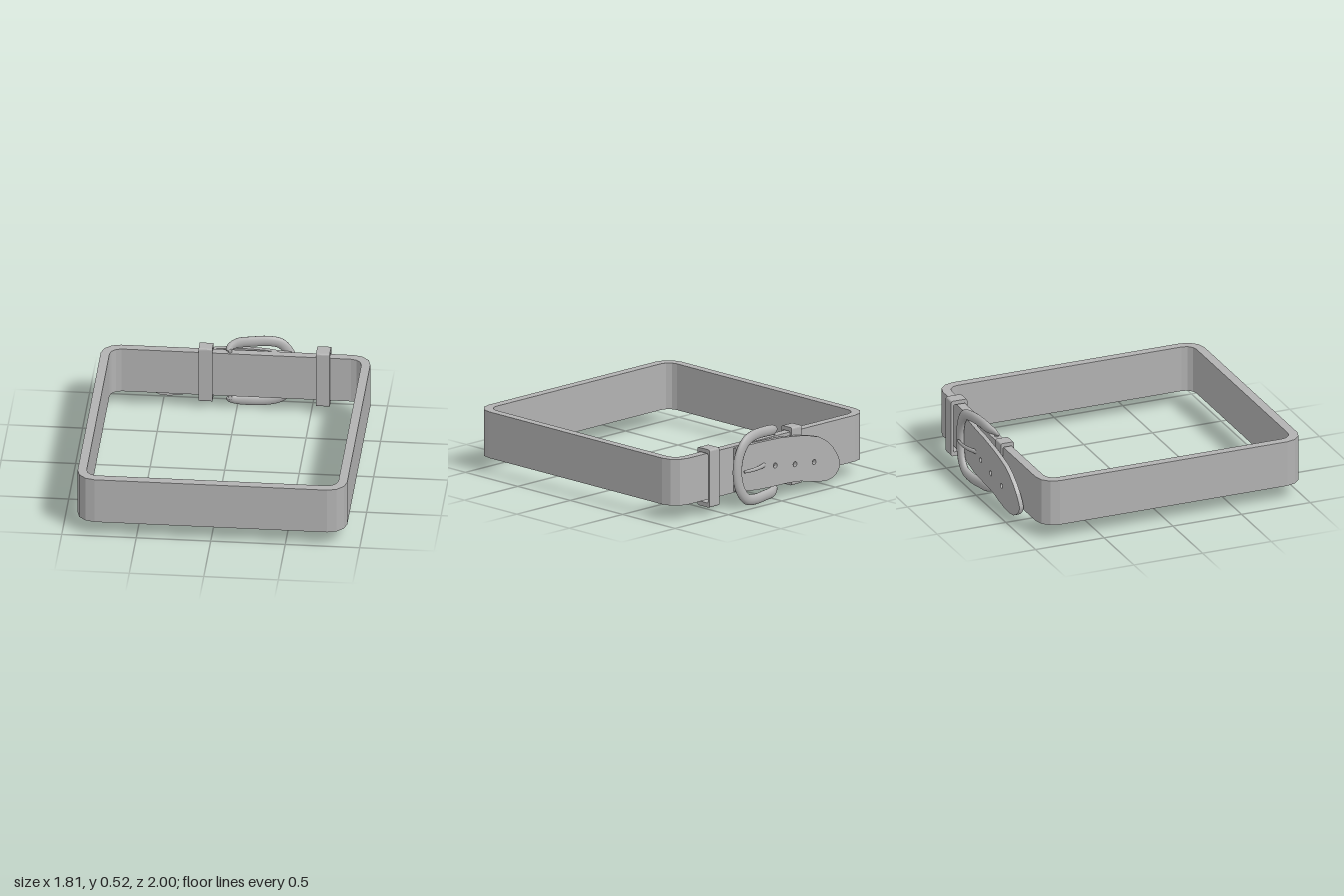
import * as THREE from 'three';
import { mergeGeometries, toCreasedNormals } from 'three/addons/utils/BufferGeometryUtils.js';

const MID_Y = 0.255;

// rounded rectangle outline with three facets per corner
function roundedRect(x0, y0, x1, y1, r) {
  const pts = [];
  const corners = [[x1 - r, y1 - r], [x0 + r, y1 - r], [x0 + r, y0 + r], [x1 - r, y0 + r]];
  corners.forEach(([cx, cy], k) => {
    for (let i = 0; i <= 3; i++) {
      const a = (k + i / 3) * Math.PI / 2;
      pts.push(new THREE.Vector2(cx + r * Math.cos(a), cy + r * Math.sin(a)));
    }
  });
  return pts;
}

function frame(outer, inner, depth) {
  const shape = new THREE.Shape(outer);
  shape.holes.push(new THREE.Path(inner));
  return new THREE.ExtrudeGeometry(shape, { depth, bevelEnabled: false });
}

// sweep an oval section along a curve; size(t) gives [half width in xy, half depth in z]
function sweep(curve, size, steps, sides) {
  const pos = [], index = [];
  for (let i = 0; i <= steps; i++) {
    const t = i / steps, p = curve.getPoint(t), tan = curve.getTangent(t);
    const n = new THREE.Vector3(-tan.y, tan.x, 0).normalize();
    const b = new THREE.Vector3().crossVectors(tan, n);
    const [w, d] = size(t);
    for (let j = 0; j < sides; j++) {
      const a = j / sides * Math.PI * 2;
      const v = p.clone().addScaledVector(n, w * Math.cos(a)).addScaledVector(b, d * Math.sin(a));
      pos.push(v.x, v.y, v.z);
      if (i < steps) {
        const q = i * sides + j, r = i * sides + (j + 1) % sides;
        index.push(q, r, q + sides, r, r + sides, q + sides);
      }
    }
  }
  // end caps
  for (const [i, t] of [[0, 0], [steps, 1]]) {
    const c = pos.length / 3, p = curve.getPoint(t);
    pos.push(p.x, p.y, p.z);
    for (let j = 0; j < sides; j++) {
      const q = i * sides + j, r = i * sides + (j + 1) % sides;
      index.push(c, ...(i ? [q, r] : [r, q]));
    }
  }
  const g = new THREE.BufferGeometry();
  g.setAttribute('position', new THREE.Float32BufferAttribute(pos, 3));
  g.setIndex(index);
  g.computeVertexNormals();
  return g;
}

// strap end: stations [x, bottom, top, z] joined as strips, some with a punched hole
function strapGeometry() {
  const st = [
    [0.36, 0.11, 0.41, -0.918], [0.27, 0.1, 0.415, -0.922], [0.18, 0.095, 0.42, -0.934],
    [0.07, 0.093, 0.42, -0.942], [-0.03, 0.093, 0.418, -0.946], [-0.11, 0.092, 0.41, -0.948],
    [-0.21, 0.083, 0.398, -0.949], [-0.29, 0.066, 0.383, -0.949], [-0.39, 0.045, 0.355, -0.946],
    [-0.46, 0.038, 0.315, -0.943], [-0.52, 0.045, 0.265, -0.939], [-0.56, 0.065, 0.215, -0.935],
    [-0.585, 0.088, 0.175, -0.932], [-0.6, 0.115, 0.14, -0.93],
  ];
  const holes = { 3: [0.02, 0.235], 5: [-0.16, 0.21], 7: [-0.34, 0.19] };
  const strips = [];
  for (let i = 0; i < st.length - 1; i++) {
    const a = st[i], b = st[i + 1];
    const shape = new THREE.Shape([[b[0], b[1]], [a[0], a[1]], [a[0], a[2]], [b[0], b[2]]]
      .map(([x, y]) => new THREE.Vector2(x, y)));
    if (holes[i]) shape.holes.push(new THREE.Path().absarc(...holes[i], 0.018, 0, Math.PI * 2, true));
    const g = new THREE.ExtrudeGeometry(shape, { depth: 0.03, bevelEnabled: false, curveSegments: 6 });
    const p = g.attributes.position;
    for (let k = 0; k < p.count; k++) {
      const t = (p.getX(k) - a[0]) / (b[0] - a[0]);
      p.setZ(k, p.getZ(k) - 0.015 + a[3] + t * (b[3] - a[3]));
    }
    g.computeVertexNormals();
    strips.push(g);
  }
  return toCreasedNormals(mergeGeometries(strips), 0.6);
}

export function createModel() {
  const group = new THREE.Group();
  const grey = new THREE.MeshStandardMaterial({ color: 0xb2b2b2 });
  grey.name = 'grey';
  const add = (name, geometry) => {
    const mesh = new THREE.Mesh(geometry, grey);
    mesh.name = name;
    group.add(mesh);
    return mesh;
  };

  // closed band, drawn in plan and extruded upward
  const band = frame(roundedRect(-0.905, -1, 0.905, 0.905, 0.125),
    roundedRect(-0.845, -0.937, 0.845, 0.845, 0.075), 0.32);
  band.rotateX(-Math.PI / 2);
  add('band', band).position.y = 0.1;

  // keeper loops around the band
  for (const [name, x, back] of [['rightKeeper', -0.253, -0.93], ['leftKeeper', 0.535, -0.95]]) {
    const loop = frame(roundedRect(0.833, 0.055, -back, 0.455, 0.012),
      roundedRect(0.846, 0.085, -back - 0.018, 0.427, 0.006), 0.092);
    loop.rotateY(Math.PI / 2);
    add(name, loop).position.x = x;
  }

  add('strapEnd', strapGeometry());

  // buckle frame: upper half of the path, mirrored for the lower half
  const half = [
    [-0.055, 0.43, -0.862], [-0.045, 0.452, -0.885], [0, 0.468, -0.912], [0.1, 0.477, -0.926],
    [0.2, 0.478, -0.943], [0.285, 0.458, -0.956], [0.335, 0.405, -0.958], [0.365, 0.33, -0.956],
  ].map(p => new THREE.Vector3(...p));
  const lower = half.map(p => new THREE.Vector3(p.x, 2 * MID_Y - p.y, p.z)).reverse();
  const path = new THREE.CatmullRomCurve3([...half, new THREE.Vector3(0.373, MID_Y, -0.956), ...lower]);
  add('buckleFrame', sweep(path, t => {
    const k = Math.min(1, 0.45 + 4 * Math.min(t, 1 - t));
    return [0.037 * k, 0.024 * k];
  }, 64, 12));

  // hinge bar
  const bar = add('hingeBar', new THREE.CylinderGeometry(0.014, 0.014, 0.38, 12));
  bar.position.set(-0.045, MID_Y, -0.872);

  // prong rising through the strap and resting on the frame
  const prong = new THREE.CatmullRomCurve3([
    [-0.045, -0.872], [0.03, -0.905], [0.1, -0.94], [0.16, -0.968], [0.22, -0.984], [0.28, -0.988], [0.335, -0.984],
  ].map(([x, z]) => new THREE.Vector3(x, MID_Y, z)));
  add('prong', sweep(prong, t => [0.02 - 0.009 * t, 0.012 - 0.004 * t], 24, 10));

  return group;
}
